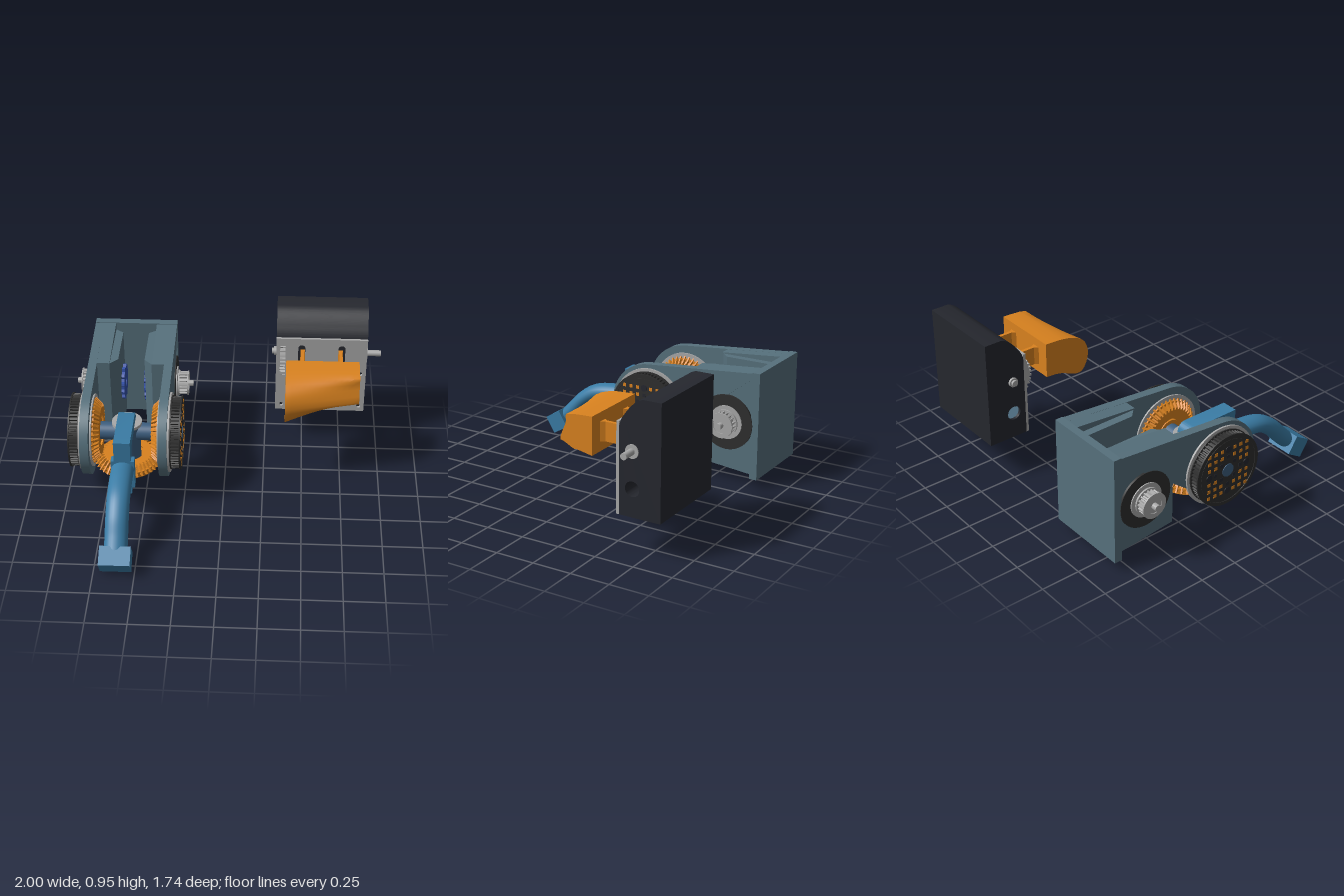
import * as THREE from 'three';
import { toCreasedNormals } from 'three/addons/utils/BufferGeometryUtils.js';

const mat = (color) => new THREE.MeshStandardMaterial({ color });
const M = {
  frame: mat(0x56707c), arm: mat(0x3a7ca5), orange: mat(0xd9821f), black: mat(0x2e2e2e), dark: mat(0x25272e),
  steel: mat(0xa9a9a9), shaft: mat(0x3d5f80), motor: mat(0x3350a8), pale: mat(0x8fc4e6),
};
const CX = -0.615, AXIS_Y = 0.42, AXIS_Z = -0.065, MOTOR_Z = -0.62;

function add(parent, name, geo, material, x = 0, y = 0, z = 0) {
  const m = new THREE.Mesh(geo, material);
  m.name = name;
  m.position.set(x, y, z);
  parent.add(m);
  return m;
}
const poly = (pts) => new THREE.Shape(pts.map((p) => new THREE.Vector2(p[0], p[1])));
const circle = (x, y, r) => new THREE.Path().absarc(x, y, r, 0, Math.PI * 2, true);
const extrude = (shape, depth) =>
  toCreasedNormals(new THREE.ExtrudeGeometry(shape, { depth, bevelEnabled: false, curveSegments: 24 }), 0.5);

// Side profile drawn in (-z, y), extruded from x0 to x1
const sideExtrude = (parent, name, shape, x0, x1, material) =>
  add(parent, name, extrude(shape, x1 - x0).rotateY(Math.PI / 2), material, x0);

// Disc or ring along local z, from z0 to z1
function disc(parent, name, r, z0, z1, material, hole = 0, x = 0, y = 0) {
  const s = new THREE.Shape().absarc(0, 0, r, 0, Math.PI * 2);
  if (hole) s.holes.push(circle(0, 0, hole));
  return add(parent, name, extrude(s, z1 - z0), material, x, y, z0);
}

function gearShape(n, root, tip, hole) {
  const pts = [];
  for (let i = 0; i < n; i++) {
    for (const [f, r] of [[0, root], [0.4, root], [0.55, tip], [0.85, tip]]) {
      const a = ((i + f) / n) * Math.PI * 2;
      pts.push([r * Math.cos(a), r * Math.sin(a)]);
    }
  }
  const s = poly(pts);
  if (hole) s.holes.push(circle(0, 0, hole));
  return s;
}

// Bevel gear: local +z points away from the gear-train centre
function bevelGear(parent) {
  const depth = 0.05, geo = new THREE.ExtrudeGeometry(gearShape(40, 0.193, 0.218, 0.125), { depth, bevelEnabled: false });
  const p = geo.attributes.position;
  for (let i = 0; i < p.count; i++) {
    const k = 0.78 + (0.22 * p.getZ(i)) / depth;
    p.setXY(i, p.getX(i) * k, p.getY(i) * k);
  }
  geo.computeVertexNormals();
  add(parent, 'bevelGearTeeth', geo, M.orange, 0, 0, 0.163);
  disc(parent, 'bevelGearBody', 0.195, 0.195, 0.235, M.orange);
  disc(parent, 'bevelGearHub', 0.08, 0.17, 0.2, M.orange);
}

function outwardGroup(parent, name, s, z) {
  const g = new THREE.Group();
  g.name = name;
  g.position.set(CX, AXIS_Y, z);
  g.rotation.y = (s * Math.PI) / 2;
  parent.add(g);
  return g;
}

function buildFrame(root) {
  const g = new THREE.Group();
  g.name = 'gearboxFrame';
  root.add(g);
  const t = Math.PI / 2;
  const profile = new THREE.Shape().moveTo(0.84, 0.07);
  profile.absarc(0.065, 0.42, 0.28, -t - 0.09, -3 * t + 0.09, true);
  profile.lineTo(0.84, 0.77);
  const rear = poly([[0.37, 0.114], [0.84, 0.07], [0.84, 0.77], [0.37, 0.727]]);
  for (const s of [-1, 1]) {
    const span = (a, b) => (s > 0 ? [CX + a, CX + b] : [CX - b, CX - a]);
    sideExtrude(g, 'sidePlate', profile, ...span(0.215, 0.27), M.frame);
    sideExtrude(g, 'rearThickening', rear, ...span(0.135, 0.215), M.frame);
    // Motor mount with chamfered corners, plan drawn in (x, -z)
    const plan = poly([[0.14, 0.375], [0.14, 0.79], [0.085, 0.75], [0.085, 0.43]].map(([x, u]) => [s * x, u]));
    add(g, 'motorMount', extrude(plan, 0.6).rotateX(-t), M.frame, CX, 0.12, 0);
  }
  add(g, 'backWall', new THREE.BoxGeometry(0.54, 0.7, 0.05), M.frame, CX, 0.42, -0.815);
}

function buildSideDrive(root, s) {
  // Large perforated pulley
  const big = outwardGroup(root, 'largePulley', s, AXIS_Z);
  disc(big, 'bearingRing', 0.255, 0.265, 0.282, M.steel, 0.2);
  disc(big, 'innerBearingRing', 0.23, 0.205, 0.22, M.steel, 0.19);
  add(big, 'pulleyTeeth', extrude(gearShape(60, 0.218, 0.23), 0.06), M.black, 0, 0, 0.286);
  disc(big, 'innerFlange', 0.236, 0.282, 0.29, M.black);
  disc(big, 'outerFlange', 0.236, 0.341, 0.35, M.black, 0.215);
  disc(big, 'pulleyFace', 0.205, 0.34, 0.348, M.black);
  disc(big, 'pulleyShaftEnd', 0.042, 0.34, 0.3515, M.shaft);
  for (let i = -3; i <= 3; i++) for (let j = -3; j <= 3; j++) {
    const x = i * 0.048, y = j * 0.048, r = Math.hypot(x, y);
    if (r < 0.06 || r > 0.21) continue;
    const edge = r > 0.1 && !(i === 0 && Math.abs(j) === 3) && !(j === 0 && Math.abs(i) === 3);
    add(big, 'faceHole', new THREE.BoxGeometry(0.022, 0.022, 0.004), edge ? M.orange : M.dark, x, y, 0.348);
  }
  for (let i = 0; i < 4; i++) {
    const a = (i * Math.PI) / 2;
    disc(big, 'faceScrew', 0.022, 0.346, 0.351, M.dark, 0, 0.144 * Math.cos(a), 0.144 * Math.sin(a));
  }
  bevelGear(big);

  // Motor, its cover ring and the small pulley
  const small = outwardGroup(root, 'motorDrive', s, MOTOR_Z);
  disc(small, 'motorCover', 0.18, 0.262, 0.275, M.black);
  disc(small, 'motorFace', 0.11, 0.27, 0.282, M.steel);
  disc(small, 'pulleyInnerFlange', 0.085, 0.285, 0.296, M.steel);
  add(small, 'smallPulleyTeeth', extrude(gearShape(18, 0.064, 0.077), 0.06), M.steel, 0, 0, 0.29);
  disc(small, 'pulleyOuterFlange', 0.082, 0.346, 0.355, M.steel, 0.05);
  disc(small, 'motorShaft', 0.02, 0.25, 0.385, M.steel);
  add(small, 'motorRearCap', extrude(gearShape(12, 0.1, 0.118, 0.03), 0.025), M.motor, 0, 0, 0.065);
}

function buildArm(root) {
  const g = new THREE.Group();
  g.name = 'arm';
  root.add(g);
  const low = new THREE.Group();
  low.name = 'lowerBevelGear';
  low.position.set(CX, AXIS_Y, AXIS_Z);
  low.rotation.x = Math.PI / 2;
  g.add(low);
  bevelGear(low);
  // Crossed shafts and centre hub
  const cross = add(g, 'crossShaft', new THREE.CylinderGeometry(0.057, 0.057, 0.42, 32), M.shaft, CX, AXIS_Y, AXIS_Z);
  cross.rotation.z = Math.PI / 2;
  add(g, 'centreHub', new THREE.CylinderGeometry(0.082, 0.082, 0.3, 32), M.shaft, CX, 0.34, AXIS_Z);
  add(g, 'hubBearing', new THREE.CylinderGeometry(0.095, 0.095, 0.02, 32), M.steel, CX, 0.49, AXIS_Z);
  // C-shaped bracket, drawn in (-z, y)
  const c = new THREE.Shape().moveTo(0.1, 0.17);
  c.lineTo(-0.258, 0.17).lineTo(-0.258, 0.56).lineTo(0.06, 0.56);
  c.quadraticCurveTo(0.11, 0.55, 0.11, 0.49).lineTo(-0.13, 0.49);
  c.quadraticCurveTo(-0.2, 0.48, -0.2, 0.4).lineTo(-0.2, 0.25);
  c.quadraticCurveTo(-0.195, 0.195, -0.13, 0.187).lineTo(0.1, 0.187);
  sideExtrude(g, 'bracket', c, CX - 0.052, CX + 0.052, M.arm);
  add(g, 'bracketFront', new THREE.BoxGeometry(0.145, 0.2, 0.055), M.arm, CX, 0.32, 0.23);
  // Bent forearm and its end block
  const path = new THREE.CatmullRomCurve3([[0.36, 0.22], [0.36, 0.38], [0.335, 0.51], [0.27, 0.61], [0.185, 0.69], [0.1, 0.775]]
    .map(([y, z]) => new THREE.Vector3(0, y, z)));
  add(g, 'forearm', new THREE.TubeGeometry(path, 40, 0.055, 24), M.arm, CX).scale.x = 1.3;
  add(g, 'endBlock', new THREE.BoxGeometry(0.19, 0.125, 0.122), M.arm, CX, 0.092, 0.786).rotation.x = 0.55;
}

// Grip lofted along x from cross-sections with a flat back
function gripGeometry() {
  const N = 20, S = 12, pos = [], idx = [];
  for (let i = 0; i <= S; i++) {
    const t = i / S, zf = -0.06 - 0.11 * t;
    const yb = 0.48 + 0.08 * Math.sin((t * Math.PI) / 2);
    const curve = new THREE.SplineCurve([[-0.385, 0.775], [-0.22, 0.762], [zf - 0.04, 0.71], [zf, 0.61],
      [zf - 0.03, yb + 0.03], [zf - 0.09, yb], [-0.28, Math.max(0.53, yb)], [-0.385, 0.54]]
      .map(([z, y]) => new THREE.Vector2(z, y)));
    for (const p of curve.getPoints(N - 1)) pos.push(0.38 + 0.465 * t, p.y, p.x);
  }
  for (let i = 0; i < S; i++) for (let j = 0; j < N; j++) {
    const a = i * N + j, b = i * N + ((j + 1) % N);
    idx.push(a, b, a + N, b, b + N, a + N);
  }
  const base = S * N, c = pos.length / 3;
  pos.push(0.38, 0.64, -0.24, 0.845, 0.66, -0.28);
  for (let j = 0; j < N; j++) {
    const k = (j + 1) % N;
    idx.push(c, k, j, c + 1, base + j, base + k);
  }
  const geo = new THREE.BufferGeometry();
  geo.setAttribute('position', new THREE.Float32BufferAttribute(pos, 3));
  geo.setIndex(idx);
  return toCreasedNormals(geo, 0.7);
}

function buildGripUnit(root) {
  const g = new THREE.Group();
  g.name = 'gripUnit';
  root.add(g);
  // Dark housing with rounded upper front and a side bore
  const s = new THREE.Shape().moveTo(0.6, 0.255);
  s.lineTo(0.867, 0.255).lineTo(0.867, 0.96).lineTo(0.755, 0.96);
  s.quadraticCurveTo(0.70, 0.95, 0.64, 0.865).quadraticCurveTo(0.605, 0.82, 0.6, 0.78);
  s.holes.push(circle(0.685, 0.425, 0.046));
  sideExtrude(g, 'housing', s, 0.315, 0.905, M.dark);
  const bore = add(g, 'boreInsert', new THREE.CylinderGeometry(0.046, 0.046, 0.15, 32), M.pale, 0.41, 0.425, -0.685);
  bore.rotation.z = Math.PI / 2;
  // Slotted front plate
  const plate = poly([[0.315, 0.255], [0.905, 0.255], [0.905, 0.81], [0.315, 0.81]]);
  for (const x of [0.48, 0.74]) {
    const h = new THREE.Path().moveTo(x + 0.023, 0.325);
    h.lineTo(x + 0.023, 0.74).absarc(x, 0.74, 0.023, 0, Math.PI).lineTo(x - 0.023, 0.325);
    h.absarc(x, 0.325, 0.023, Math.PI, Math.PI * 2);
    plate.holes.push(h);
  }
  for (const x of [0.355, 0.868]) for (const y of [0.295, 0.55]) plate.holes.push(circle(x, y, 0.014));
  add(g, 'frontPlate', extrude(plate, 0.018), M.steel, 0, 0, -0.6);
  // Gear and cross shaft
  const gear = add(g, 'driveGear', extrude(gearShape(36, 0.145, 0.16), 0.035), M.steel, 0.34, 0.65, -0.685);
  gear.rotation.y = Math.PI / 2;
  const rod = (name, r, x0, x1) => {
    add(g, name, new THREE.CylinderGeometry(r, r, x1 - x0, 24), M.steel, (x0 + x1) / 2, 0.65, -0.685).rotation.z = Math.PI / 2;
  };
  rod('shaft', 0.02, 0.285, 1.0);
  rod('leftBushing', 0.042, 0.9, 0.912);
  rod('rightBushing', 0.03, 0.3, 0.32);
  // Grip and its two flared stems
  add(g, 'grip', gripGeometry(), M.orange);
  for (const x of [0.487, 0.733]) {
    const stem = poly([[-0.03, 0.38], [0.03, 0.38], [0.011, 0.41], [0.011, 0.57], [0.018, 0.62], [-0.018, 0.62], [-0.011, 0.57], [-0.011, 0.41]]);
    add(g, 'stem', extrude(stem, 0.12).rotateX(-Math.PI / 2), M.orange, x, 0.6, 0);
  }
}

export function createModel() {
  const root = new THREE.Group();
  root.name = 'gearDrivenArmAndGrip';
  buildFrame(root);
  for (const s of [-1, 1]) buildSideDrive(root, s);
  buildArm(root);
  buildGripUnit(root);
  return root;
}
